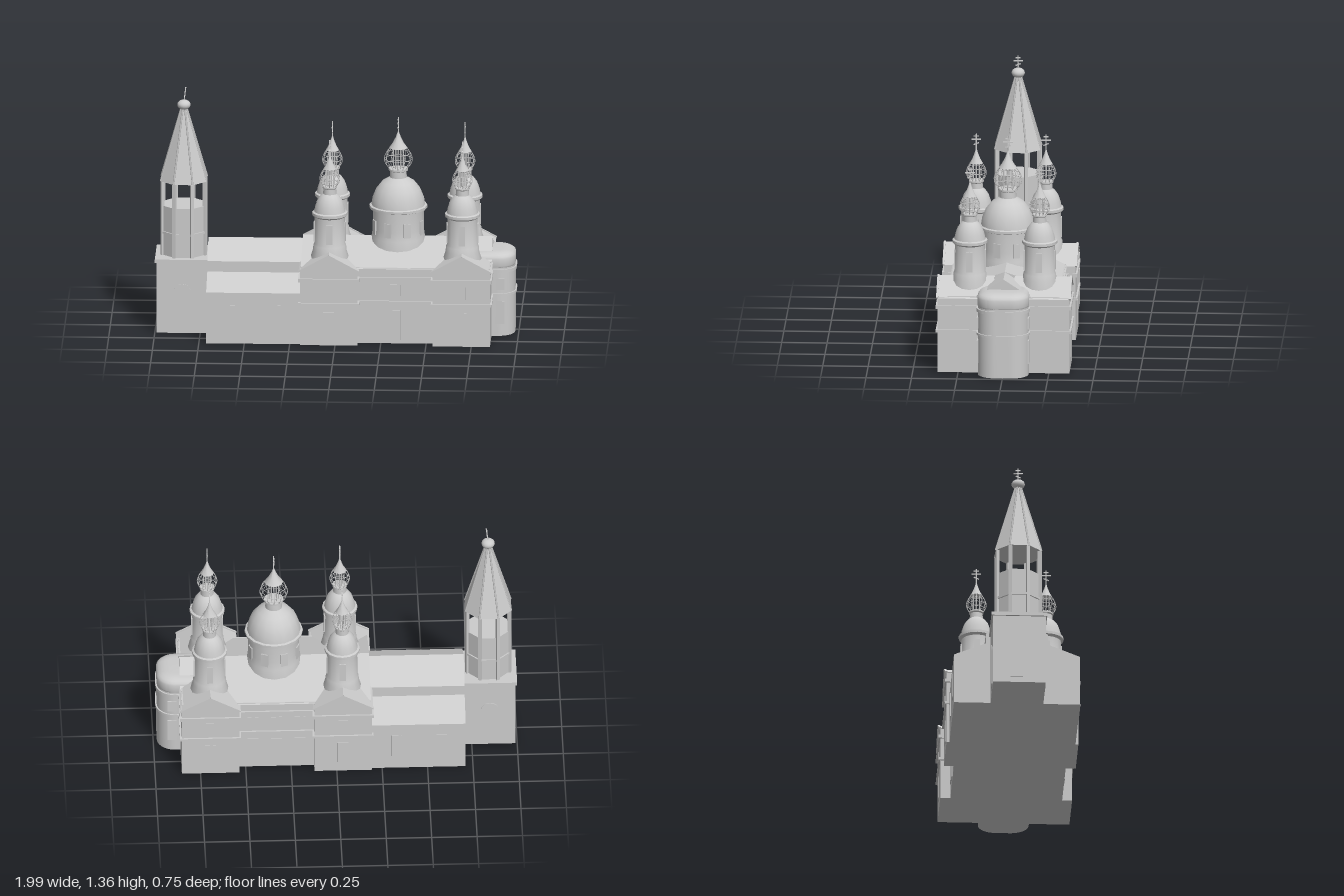
import * as THREE from 'three';
import { toCreasedNormals } from 'three/addons/utils/BufferGeometryUtils.js';

const mat = new THREE.MeshStandardMaterial({ color: 0xcccccc, side: THREE.DoubleSide });
const flat = new THREE.MeshStandardMaterial({ color: 0xcccccc, flatShading: true, side: THREE.DoubleSide });

function add(parent, name, geo, x = 0, y = 0, z = 0, m = mat) {
  const mesh = new THREE.Mesh(geo, m);
  mesh.name = name;
  mesh.position.set(x, y, z);
  parent.add(mesh);
  return mesh;
}

// box given by its extents
function block(parent, name, x0, x1, y0, y1, z0, z1) {
  return add(parent, name, new THREE.BoxGeometry(x1 - x0, y1 - y0, z1 - z0),
    (x0 + x1) / 2, (y0 + y1) / 2, (z0 + z1) / 2);
}

// extrude a closed outline of [x, y] points along +z
function prism(points, length) {
  const shape = new THREE.Shape(points.map(p => new THREE.Vector2(...p)));
  return new THREE.ExtrudeGeometry(shape, { depth: length, bevelEnabled: false });
}

function lathe(points, sides) {
  return toCreasedNormals(new THREE.LatheGeometry(points.map(p => new THREE.Vector2(...p)), sides), 0.7);
}

// flat window or door panel, optionally with an arched head; faces +z before turning
function panel(parent, name, x, y, z, w, h, turn = 0, arched = false) {
  const s = new THREE.Shape();
  s.moveTo(-w / 2, 0);
  s.lineTo(w / 2, 0);
  if (arched) {
    s.lineTo(w / 2, h - w / 2);
    s.absarc(0, h - w / 2, w / 2, 0, Math.PI, false);
  } else {
    s.lineTo(w / 2, h);
    s.lineTo(-w / 2, h);
  }
  s.closePath();
  const geo = new THREE.ExtrudeGeometry(s, { depth: 0.008, bevelEnabled: false });
  geo.translate(0, 0, -0.004);
  add(parent, name, geo, x, y, z).rotation.y = turn;
}

// three-bar cross standing in the yz plane, foot at the group origin
function cross(parent, y, h) {
  const g = new THREE.Group();
  g.name = 'cross';
  g.position.y = y;
  parent.add(g);
  const t = 0.006;
  add(g, 'crossPost', new THREE.BoxGeometry(t, h, t), 0, h / 2, 0);
  add(g, 'crossTopBar', new THREE.BoxGeometry(t, t, h * 0.32), 0, h * 0.86, 0);
  add(g, 'crossMainBar', new THREE.BoxGeometry(t, t, h * 0.6), 0, h * 0.65, 0);
  add(g, 'crossFootBar', new THREE.BoxGeometry(t, t, h * 0.35), 0, h * 0.38, 0).rotation.x = 0.4;
  return g;
}

// open onion of wire ribs and hoops around a small core, with a spire and cross
function cupola(parent, y, r, h, spire, crossH) {
  const profile = [[0.62, 0], [0.9, 0.22], [1, 0.47], [0.88, 0.74], [0.6, 1]];
  const curve = new THREE.CatmullRomCurve3(profile.map(p => new THREE.Vector3(p[0] * r, p[1] * h, 0)));
  const rib = new THREE.TubeGeometry(curve, 10, 0.0018, 4);
  for (let i = 0; i < 12; i++) add(parent, 'onionRib', rib, 0, y, 0).rotation.y = i * Math.PI / 6;
  for (const [pr, py] of profile) {
    add(parent, 'onionHoop', new THREE.TorusGeometry(pr * r, 0.0018, 4, 12), 0, y + py * h, 0).rotation.x = Math.PI / 2;
  }
  for (let i = 0; i < 6; i++) {
    const a = i * Math.PI / 3;
    add(parent, 'lanternPost', new THREE.CylinderGeometry(0.003, 0.003, h, 5),
      Math.cos(a) * r * 0.35, y + h / 2, Math.sin(a) * r * 0.35);
  }
  add(parent, 'spire', lathe([[0, 0], [0.66 * r, 0], [0.4 * r, spire * 0.28],
    [0.18 * r, spire * 0.62], [0, spire]], 12), 0, y + h, 0);
  cross(parent, y + h + spire - 0.015, crossH);
}

function cornerTower(parent, x, z) {
  const g = new THREE.Group();
  g.name = 'cornerTower';
  g.position.set(x, 0, z);
  parent.add(g);
  add(g, 'drumAndDome', lathe([[0.104, 0.4], [0.104, 0.465], [0.093, 0.5], [0.09, 0.53], [0.085, 0.54],
    [0.083, 0.69], [0.097, 0.7], [0.097, 0.715], [0.086, 0.72], [0.08, 0.75], [0.068, 0.785],
    [0.05, 0.81], [0.037, 0.82], [0.035, 0.85], [0.041, 0.855], [0.041, 0.863], [0, 0.863]], 16));
  for (let i = 0; i < 4; i++) {
    const a = i * Math.PI / 2;
    panel(g, 'drumWindow', Math.sin(a) * 0.084, 0.55, Math.cos(a) * 0.084, 0.035, 0.11, a);
  }
  cupola(g, 0.86, 0.055, 0.1, 0.09, 0.09);
}

function apsePlan(r, half, x1) {
  const s = new THREE.Shape();
  s.moveTo(0.7, -half);
  s.lineTo(x1 - r, -half);
  s.absarc(x1 - r, -half + r, r, -Math.PI / 2, 0, false);
  s.absarc(x1 - r, half - r, r, 0, Math.PI / 2, false);
  s.lineTo(0.7, half);
  s.closePath();
  return s;
}

export function createModel() {
  const model = new THREE.Group();
  model.name = 'church';

  // bell tower base
  const tx = -0.85;
  block(model, 'bellTowerBase', -0.99, -0.705, 0, 0.41, -0.145, 0.145);
  block(model, 'bellTowerCornice', -1, -0.7, 0.4, 0.42, -0.153, 0.153);
  for (const s of [1, -1]) panel(model, 'archedDoor', tx, 0.03, s * 0.145, 0.1, 0.25, 0, true);
  panel(model, 'archedDoor', -0.99, 0.03, 0, 0.1, 0.25, Math.PI / 2, true);

  // octagonal belfry
  const belfry = new THREE.Group();
  belfry.name = 'belfry';
  belfry.position.x = tx + 0.005;
  model.add(belfry);
  const oct = (rt, rb, h) => new THREE.CylinderGeometry(rt, rb, h, 8).rotateY(Math.PI / 8);
  add(belfry, 'belfryCore', oct(0.126, 0.126, 0.29), 0, 0.555, 0, flat);
  add(belfry, 'belfryBand', oct(0.134, 0.134, 0.012), 0, 0.55, 0, flat);
  add(belfry, 'tentRoof', oct(0.014, 0.138, 0.41), 0, 1.045, 0, flat);
  for (let i = 0; i < 8; i++) {
    const a = (i + 0.5) * Math.PI / 4;
    const at = (r, y) => new THREE.Vector3(Math.sin(a) * r, y, Math.cos(a) * r);
    add(belfry, 'belfryPost', new THREE.BoxGeometry(0.018, 0.42, 0.018),
      Math.sin(a) * 0.126, 0.63, Math.cos(a) * 0.126).rotation.y = a;
    add(belfry, 'tentRib', new THREE.TubeGeometry(new THREE.LineCurve3(at(0.137, 0.842), at(0.015, 1.25)), 1, 0.005, 4));
  }
  add(belfry, 'ballFinial', new THREE.SphereGeometry(0.037, 16, 10).scale(1, 0.75, 1), 0, 1.265, 0);
  cross(belfry, 1.28, 0.085).rotation.z = -0.12;

  // refectory with low aisles, one cross-section along x
  add(model, 'refectory', prism([[-0.347, 0], [0.347, 0], [0.347, 0.29], [0.172, 0.36], [0.172, 0.42],
    [0, 0.51], [-0.172, 0.42], [-0.172, 0.36], [-0.347, 0.29]], 0.56), -0.71, 0, 0).rotation.y = Math.PI / 2;

  // main hall and its roof
  block(model, 'mainHall', -0.19, 0.85, 0, 0.43, -0.308, 0.308);
  for (const [y0, y1] of [[0.23, 0.243], [0.362, 0.378]]) {
    block(model, 'hallCornice', -0.185, 0.845, y0, y1, -0.318, 0.318);
  }
  add(model, 'mainRoof', prism([[-0.315, 0.425], [0.315, 0.425], [0, 0.53]], 0.88), -0.19, 0, 0).rotation.y = Math.PI / 2;
  add(model, 'eastPediment', prism([[-0.16, 0.425], [0.16, 0.425], [0, 0.53]], 0.3), 0.555, 0, 0).rotation.y = Math.PI / 2;

  // corner blocks with gables and towers, mirrored front to back
  for (const s of [1, -1]) {
    for (const cx of [-0.035, 0.695]) {
      const zBox = (name, half, y0, y1, zi, zo) =>
        block(model, name, cx - half, cx + half, y0, y1, Math.min(s * zi, s * zo), Math.max(s * zi, s * zo));
      zBox('cornerBlock', 0.158, 0, 0.425, 0.14, 0.363);
      for (const [y0, y1] of [[0.228, 0.242], [0.36, 0.38]]) zBox('cornerCornice', 0.168, y0, y1, 0.135, 0.373);
      const gable = prism([[-0.166, 0.42], [0.166, 0.42], [0, 0.51]], 0.31);
      add(model, 'gableRoof', gable, cx, 0, s > 0 ? 0.055 : -0.365);
      // raised edges of the pediment
      for (const e of [1, -1]) {
        add(model, 'pedimentTrim', new THREE.BoxGeometry(0.19, 0.008, 0.012), cx + e * 0.083, 0.467, s * 0.365)
          .rotation.z = -e * Math.atan2(0.09, 0.166);
      }
      panel(model, 'lowerWindow', cx, 0.06, s * 0.363, 0.06, 0.13);
      panel(model, 'upperWindow', cx, 0.27, s * 0.363, 0.05, 0.07);
      cornerTower(model, cx, s * 0.192);
    }
    for (const x of [0.2, 0.33, 0.46]) {
      panel(model, 'upperWindow', x, 0.27, s * 0.308, 0.06, 0.065);
      panel(model, x === 0.33 ? 'sideDoor' : 'lowerWindow', x, x === 0.33 ? 0.02 : 0.06, s * 0.308, 0.06, x === 0.33 ? 0.17 : 0.13);
    }
    for (const x of [-0.58, -0.33]) panel(model, 'aisleWindow', x, 0.08, s * 0.347, 0.06, 0.14);
    for (const y of [0.07, 0.265]) panel(model, 'apseWindow', 0.9, y, s * 0.14, 0.05, y < 0.2 ? 0.13 : 0.065);
  }

  // rounded apse
  const up = (geo, name, y) => add(model, name, toCreasedNormals(geo, 0.6), 0, y, 0).rotation.x = -Math.PI / 2;
  const solid = (grow, depth) => new THREE.ExtrudeGeometry(apsePlan(0.1 + grow, 0.14 + grow, 0.98 + grow),
    { depth, bevelEnabled: false, curveSegments: 8 });
  up(solid(0, 0.435), 'apse', 0);
  up(solid(0.008, 0.013), 'apseCornice', 0.229);
  up(solid(0.008, 0.018), 'apseCornice', 0.361);
  up(new THREE.ExtrudeGeometry(apsePlan(0.1, 0.142, 0.982), { depth: 0.04, bevelThickness: 0.035,
    bevelSize: 0.07, bevelOffset: -0.07, bevelSegments: 5, curveSegments: 8 }), 'apseRoof', 0.397);

  // central drum and dome
  const centre = new THREE.Group();
  centre.name = 'centralDome';
  centre.position.x = 0.335;
  model.add(centre);
  add(centre, 'drumAndDome', lathe([[0.158, 0.42], [0.158, 0.485], [0.147, 0.53], [0.14, 0.58], [0.14, 0.685],
    [0.16, 0.692], [0.16, 0.706], [0.148, 0.71], [0.142, 0.75], [0.122, 0.8], [0.09, 0.84], [0.06, 0.858],
    [0.047, 0.865], [0.045, 0.9], [0.054, 0.905], [0.054, 0.915], [0, 0.915]], 16));
  for (let i = 0; i < 8; i++) {
    const a = (i + 0.5) * Math.PI / 4;
    panel(centre, 'drumWindow', Math.sin(a) * 0.14, 0.55, Math.cos(a) * 0.14, 0.04, 0.08, a);
  }
  cupola(centre, 0.912, 0.077, 0.12, 0.1, 0.09);

  return model;
}
